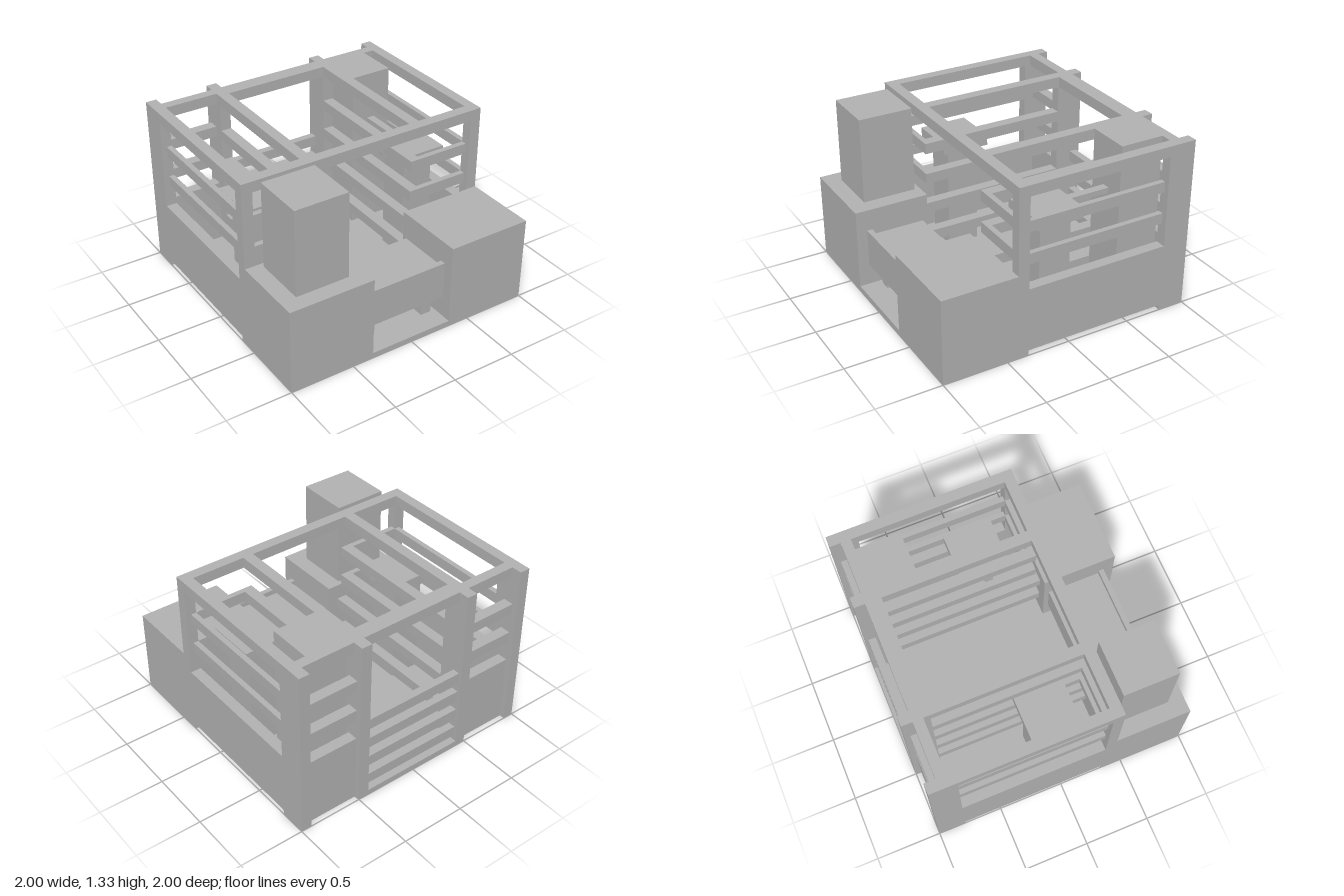
import * as THREE from 'three';

export function createModel() {
  const model = new THREE.Group();
  const plain = new THREE.MeshStandardMaterial({ color: 0xb2b2b2 });
  plain.name = 'plain grey';

  // Box given by its two extents on each axis
  function box(name, x0, x1, y0, y1, z0, z1) {
    const mesh = new THREE.Mesh(new THREE.BoxGeometry(x1 - x0, y1 - y0, z1 - z0), plain);
    mesh.name = name;
    mesh.position.set((x0 + x1) / 2, (y0 + y1) / 2, (z0 + z1) / 2);
    model.add(mesh);
  }
  // Same box on both sides of the model
  function pair(name, x0, x1, ...rest) {
    box(name + 'Left', x0, x1, ...rest);
    box(name + 'Right', -x1, -x0, ...rest);
  }

  const TOP = 1.333, BEAM = 1.25, FLOOR = 0.042, SILL = 0.542;

  // Floor slab and the middle threshold
  box('floor', -0.917, 0.917, 0, FLOOR, -0.958, 1);
  box('backThreshold', -0.417, 0.417, 0, FLOOR, -1, -0.958);

  // Front blocks and the tall block on one of them
  pair('frontBlock', 0.333, 1, 0, 0.667, 0.417, 1);
  box('tower', -0.875, -0.458, 0.667, TOP, 0.458, 0.875);

  // Posts and low walls
  pair('frontPost', 0.917, 1, 0, TOP, 0.333, 0.417);
  pair('backCornerPost', 0.917, 1, 0, TOP, -1, -0.792);
  pair('backInnerPost', 0.417, 0.5, 0, TOP, -1, -0.792);
  pair('sideWall', 0.917, 1, FLOOR, SILL, -0.792, 0.333);
  pair('backWall', 0.5, 0.917, 0, SILL, -0.958, -0.875);

  // Roof frame
  box('frontBeam', -1, 1, BEAM, TOP, 0.333, 0.417);
  pair('sideBeam', 0.917, 1, BEAM, TOP, -0.792, 0.333);
  pair('innerBeam', 0.417, 0.5, BEAM, TOP, -0.792, 0.333);
  pair('backBeam', 0.5, 0.917, BEAM, TOP, -0.917, -0.84);
  box('middleBackBeam', -0.417, 0.417, BEAM, TOP, -0.917, -0.796);

  // Rails around the side bays
  for (const y of [0.708, 0.958]) {
    pair('sideRail', 0.917, 0.958, y, y + 0.083, -0.792, 0.333);
    pair('frontRail', 0.417, 0.917, y, y + 0.083, 0.333, 0.375);
    pair('backRail', 0.5, 0.917, y, y + 0.083, -0.958, -0.875);
  }

  // Divider rails between the bays and the middle
  for (const y of [0.208, 0.458, 0.708, 0.958]) {
    pair('dividerRail', 0.417, 0.5, y, y + 0.083, -0.792, y > 0.6 ? 0.333 : 0.417);
  }

  // Back gate
  for (const y of [0.083, 0.25, 0.417, 0.583]) {
    box('gateRail', -0.417, 0.417, y, y + 0.083, -0.975, -0.917);
  }

  // Bench in the front opening
  box('benchPanel', -0.333, 0.333, 0.208, 0.5, 0.875, 0.917);
  box('benchBody', -0.333, 0.333, 0.208, 0.458, 0.458, 0.875);
  for (const z of [0.5, 0.75]) pair('benchLeg', 0.208, 0.292, FLOOR, 0.208, z, z + 0.083);

  // Pedestal tables with short arms
  pair('pedestal', 0.542, 0.792, FLOOR, 0.875, -0.125, 0.125);
  pair('tableTop', 0.479, 0.854, 0.875, 0.958, -0.188, 0.188);
  pair('tableArm', 0.417, 0.479, 0.913, 0.955, -0.03, 0.03);

  // Tall cabinet joined to one table
  box('cabinet', 0.5, 0.833, FLOOR, TOP, -0.84, -0.5);
  box('cabinetArm', 0.636, 0.698, 0.913, 0.955, -0.5, -0.188);

  return model;
}
